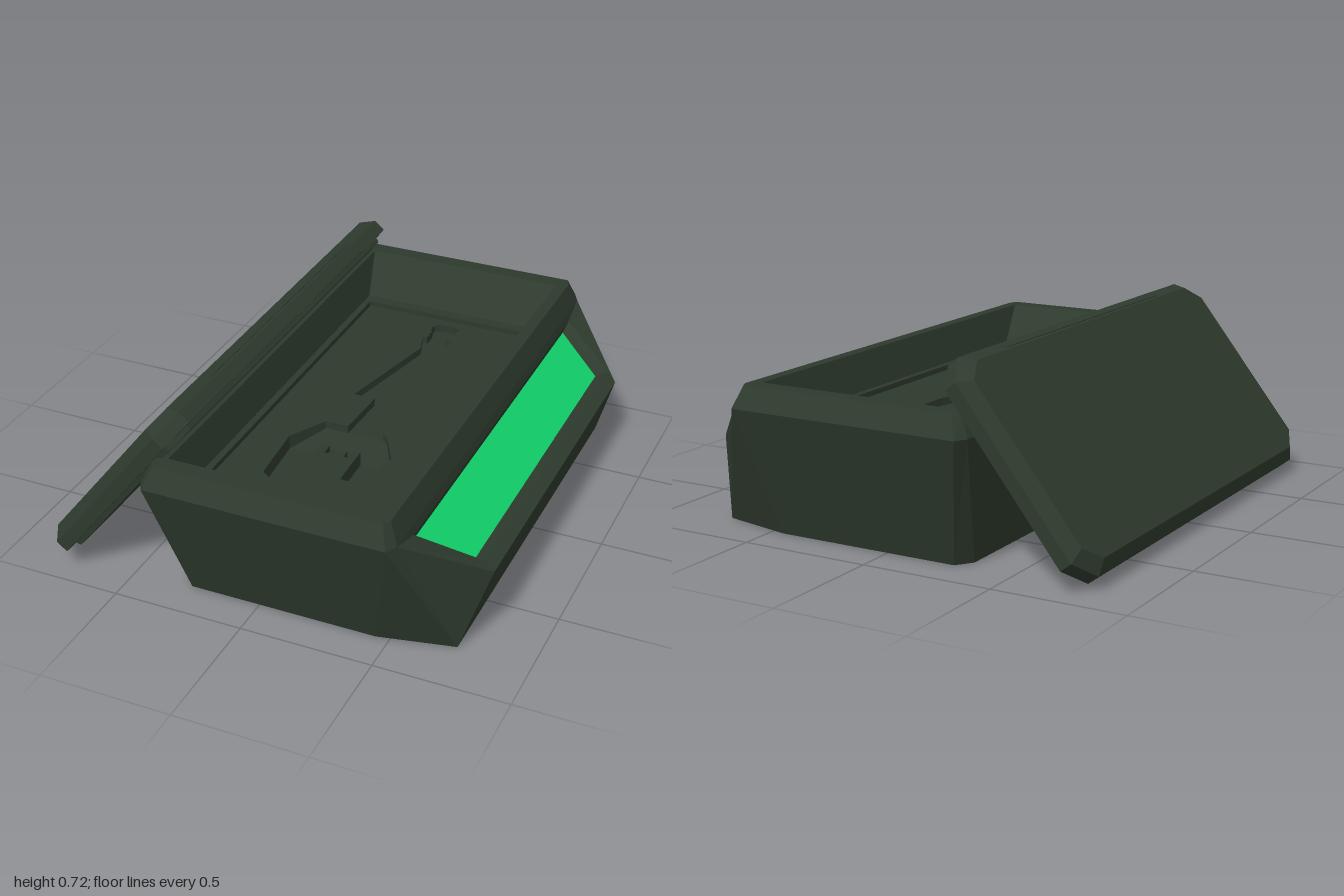
import * as THREE from 'three';

const mat = (name, color) => {
  const m = new THREE.MeshStandardMaterial({ color, flatShading: true, side: THREE.DoubleSide });
  m.name = name;
  return m;
};

// Symmetric outline at height y: the +z half runs back to front, then is mirrored
const ring = (y, half) => [
  ...half.map(([x, z]) => [x, y, z]),
  ...half.slice().reverse().map(([x, z]) => [x, y, -z]),
];

// Rectangle outline with chamfered corners
const chamfered = (y, x0, x1, z, cx, cz) =>
  ring(y, [[x0, z - cz], [x0 + cx, z], [x1 - cx, z], [x1, z - cz]]);

// Geometry from convex polygons
function polygons(faces) {
  const pos = [];
  for (const f of faces)
    for (let i = 1; i < f.length - 1; i++) pos.push(...f[0], ...f[i], ...f[i + 1]);
  const g = new THREE.BufferGeometry();
  g.setAttribute('position', new THREE.Float32BufferAttribute(pos, 3));
  g.computeVertexNormals();
  return g;
}

// Skin over successive rings, folded symmetrically; skip(r, i) leaves a panel open
function loft(rings, capEnd, skip = () => false) {
  const faces = [rings[0].slice().reverse()];
  for (let r = 0; r < rings.length - 1; r++) {
    const a = rings[r], b = rings[r + 1], n = a.length;
    for (let i = 0; i < n; i++) {
      const j = (i + 1) % n;
      if (skip(r, i)) continue;
      faces.push(i < n / 2 ? [a[j], b[j], b[i], a[i]] : [a[i], a[j], b[j], b[i]]);
    }
  }
  if (capEnd) faces.push(rings[rings.length - 1]);
  return polygons(faces);
}

export function createModel() {
  const group = new THREE.Group();
  const dark = mat('dark green metal', 0x2e3a2d);
  const glow = mat('bright green panel', 0x11d46c);
  const add = (name, geo, material, parent = group) => {
    const m = new THREE.Mesh(geo, material);
    m.name = name;
    parent.add(m);
    return m;
  };

  // Crate shell: outer walls, rim, sloped inner walls and ledge
  add('crateBody', loft([
    ring(0, [[-0.315, 0.79], [-0.27, 0.85], [0.45, 0.85], [0.73, 0.79]]),
    ring(0.48, [[-0.39, 0.955], [-0.365, 1], [0.545, 1], [0.567, 0.955]]),
    ring(0.56, [[-0.355, 0.93], [-0.335, 0.96], [0.52, 0.96], [0.535, 0.93]]),
    chamfered(0.56, -0.31, 0.49, 0.895, 0.004, 0.004),
    chamfered(0.42, -0.275, 0.455, 0.757, 0.004, 0.004),
    chamfered(0.42, -0.25, 0.43, 0.71, 0.004, 0.004),
    chamfered(0.4, -0.25, 0.43, 0.71, 0.004, 0.004),
  ], false, (r, i) => r === 0 && i === 3), dark);

  // Front console: key corners on side s
  const corners = (s) => ({
    rim: [0.567, 0.48, 0.955 * s], foot: [0.73, 0, 0.79 * s], nose: [0.82, 0.285, 0.7 * s],
    crestIn: [0.575, 0.447, 0.825 * s], crestOut: [0.785, 0.325, 0.705 * s],
    barTop: [0.775, 0.302, 0.69 * s],
    panelIn: [0.565, 0.413, 0.785 * s], panelOut: [0.74, 0.3, 0.69 * s],
  });
  const L = corners(1), R = corners(-1);
  const faces = [
    [L.foot, R.foot, R.nose, L.nose],
    [L.nose, R.nose, R.barTop, L.barTop],
    [L.barTop, R.barTop, R.panelOut, L.panelOut],
    [L.panelIn, R.panelIn, R.crestIn, L.crestIn],
    [L.crestIn, R.crestIn, R.rim, L.rim],
  ];
  for (const c of [L, R]) {
    const side = [
      [c.rim, c.foot, c.nose],
      [c.rim, c.nose, c.crestOut, c.crestIn],
      [c.crestIn, c.crestOut, c.panelOut, c.panelIn],
      [c.crestOut, c.nose, c.barTop, c.panelOut],
    ];
    faces.push(...(c === L ? side : side.map((f) => f.slice().reverse())));
  }
  add('frontConsole', polygons(faces), dark);
  add('glowPanel', polygons([[L.panelOut, R.panelOut, R.panelIn, L.panelIn]]), glow);

  // Padded floor with a tool-shaped cutout, points as [x, z]
  const cutout = [
    [0.06, -0.655], [0.08, -0.67], [0.14, -0.67], [0.165, -0.655], [0.165, -0.61], [0.15, -0.61],
    [0.15, -0.55], [0.175, -0.55], [0.16, -0.455], [0.185, -0.34], [0.18, -0.2], [0.155, -0.1],
    [0.2, 0.12], [0.2, 0.21], [0.22, 0.22], [0.295, 0.355], [0.25, 0.55], [0.18, 0.55],
    [0.175, 0.36], [0.145, 0.36], [0.145, 0.41], [0.13, 0.41], [0.13, 0.375], [0.07, 0.375],
    [0.07, 0.41], [0.055, 0.41], [0.055, 0.36], [0.025, 0.36], [-0.015, 0.67], [-0.09, 0.615],
    [-0.11, 0.36], [-0.03, 0.21], [0.06, 0.21], [0.07, -0.015], [-0.015, -0.015], [0.08, -0.455],
    [0.05, -0.55], [0.07, -0.55], [0.07, -0.61], [0.06, -0.61],
  ];
  const toPoints = (list) => list.map(([x, z]) => new THREE.Vector2(x, -z));
  const padShape = new THREE.Shape(toPoints([[-0.25, 0.71], [0.43, 0.71], [0.43, -0.71], [-0.25, -0.71]]));
  padShape.holes.push(new THREE.Path(toPoints(cutout)));
  const pad = new THREE.ExtrudeGeometry(padShape, { depth: 0.06, bevelEnabled: false });
  pad.rotateX(-Math.PI / 2);
  add('floorPad', pad, dark).position.y = 0.34;

  // Bottom of the cutout, sloping deeper toward the wide end, points as [z, y]
  const base = [[-0.7, 0.37], [0.21, 0.37], [0.36, 0.345], [0.7, 0.345]];
  add('cutoutBase', polygons(base.slice(1).map(([z1, y1], i) => {
    const [z0, y0] = base[i];
    return [[-0.24, y0, z0], [-0.24, y1, z1], [0.42, y1, z1], [0.42, y0, z0]];
  })), dark);

  // Lid leaning on the back edge, built flat and tilted
  const lid = new THREE.Group();
  lid.name = 'lid';
  lid.position.set(-0.78, 0.02, 0);
  lid.rotation.z = Math.atan2(0.785, 0.62);
  group.add(lid);
  const slab = (y, inset) =>
    chamfered(y, inset, 0.856 - inset, 0.945 - inset, 0.08 - inset * 0.4, 0.1 - inset * 0.4);
  add('lidSlab', loft([
    slab(-0.02, 0.045), slab(0, 0.04), slab(0, 0), slab(0.05, 0), slab(0.091, 0.042),
  ], true), dark, lid);

  // Narrow grip strip on the lid's upper bevel
  const grip = add('lidGrip', new THREE.BoxGeometry(0.03, 0.004, 1.18), dark, lid);
  grip.position.set(0.835, 0.071, -0.01);
  grip.rotation.z = -0.77;

  return group;
}
